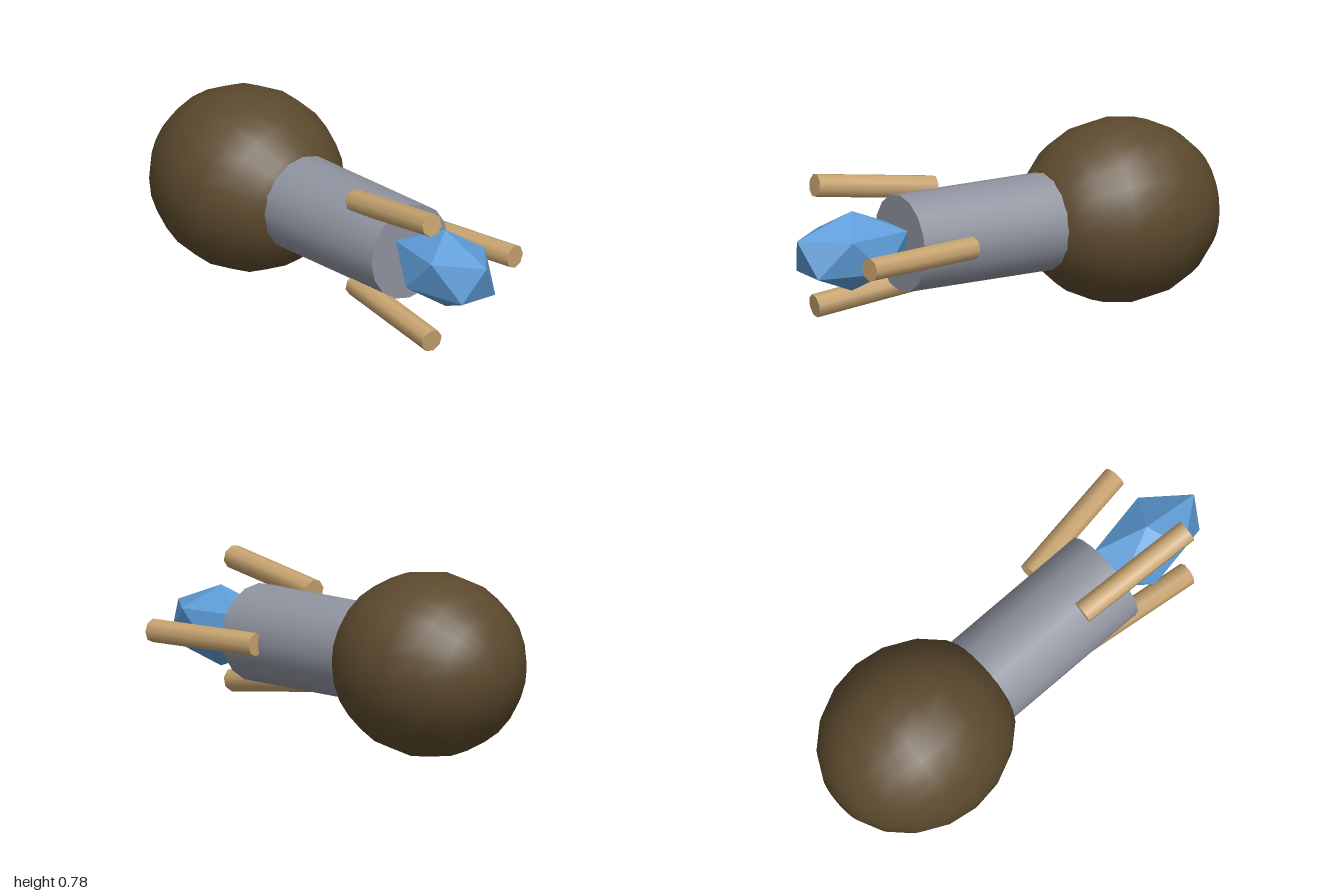
import * as THREE from 'three';

const AXIS_Y = 0.393; // height of the long axis

export function createModel() {
  const model = new THREE.Group();
  const material = (name, color, extra = {}) => {
    const m = new THREE.MeshStandardMaterial({ color, ...extra });
    m.name = name;
    return m;
  };
  const brown = material('dark brown', 0x5c4a2e);
  const grey = material('steel grey', 0x9094a0);
  const tan = material('light wood', 0xc8a470);
  const blue = material('crystal blue', 0x5e9dd8, { flatShading: true });

  const add = (name, geometry, mat, x, parent = model) => {
    const mesh = new THREE.Mesh(geometry, mat);
    mesh.name = name;
    mesh.position.set(x, parent === model ? AXIS_Y : 0, 0);
    parent.add(mesh);
    return mesh;
  };

  // Rounded pommel, poles on the long axis and slightly stretched along it
  const ball = new THREE.SphereGeometry(0.391, 24, 10);
  ball.rotateZ(-Math.PI / 2).scale(1.112, 1, 1);
  add('pommel', ball, brown, -0.565);

  // Barrel, sunk into the pommel
  const barrel = new THREE.CylinderGeometry(0.207, 0.207, 0.85, 16);
  barrel.rotateZ(-Math.PI / 2);
  add('barrel', barrel, grey, 0.072);

  // Faceted crystal: one corner straight up, stretched along the axis
  const crystal = new THREE.IcosahedronGeometry(0.172, 0);
  crystal.rotateZ(-Math.atan(2 / (1 + Math.sqrt(5)))).scale(1.735, 1, 1);
  add('crystal', crystal, blue, 0.73);

  // Three prongs spreading outward around the crystal
  const start = new THREE.Vector2(0.272, 0.217);
  const end = new THREE.Vector2(0.822, 0.301);
  const span = end.clone().sub(start);
  const rod = new THREE.CylinderGeometry(0.05, 0.05, span.length(), 8);
  rod.rotateZ(-Math.PI / 2 + span.angle());
  [30, 150, 270].forEach((degrees, i) => {
    const pivot = new THREE.Group();
    pivot.name = `prongMount${i + 1}`;
    pivot.position.y = AXIS_Y;
    pivot.rotation.x = THREE.MathUtils.degToRad(degrees);
    const prong = add(`prong${i + 1}`, rod, tan, (start.x + end.x) / 2, pivot);
    prong.position.y = (start.y + end.y) / 2;
    model.add(pivot);
  });

  return model;
}
